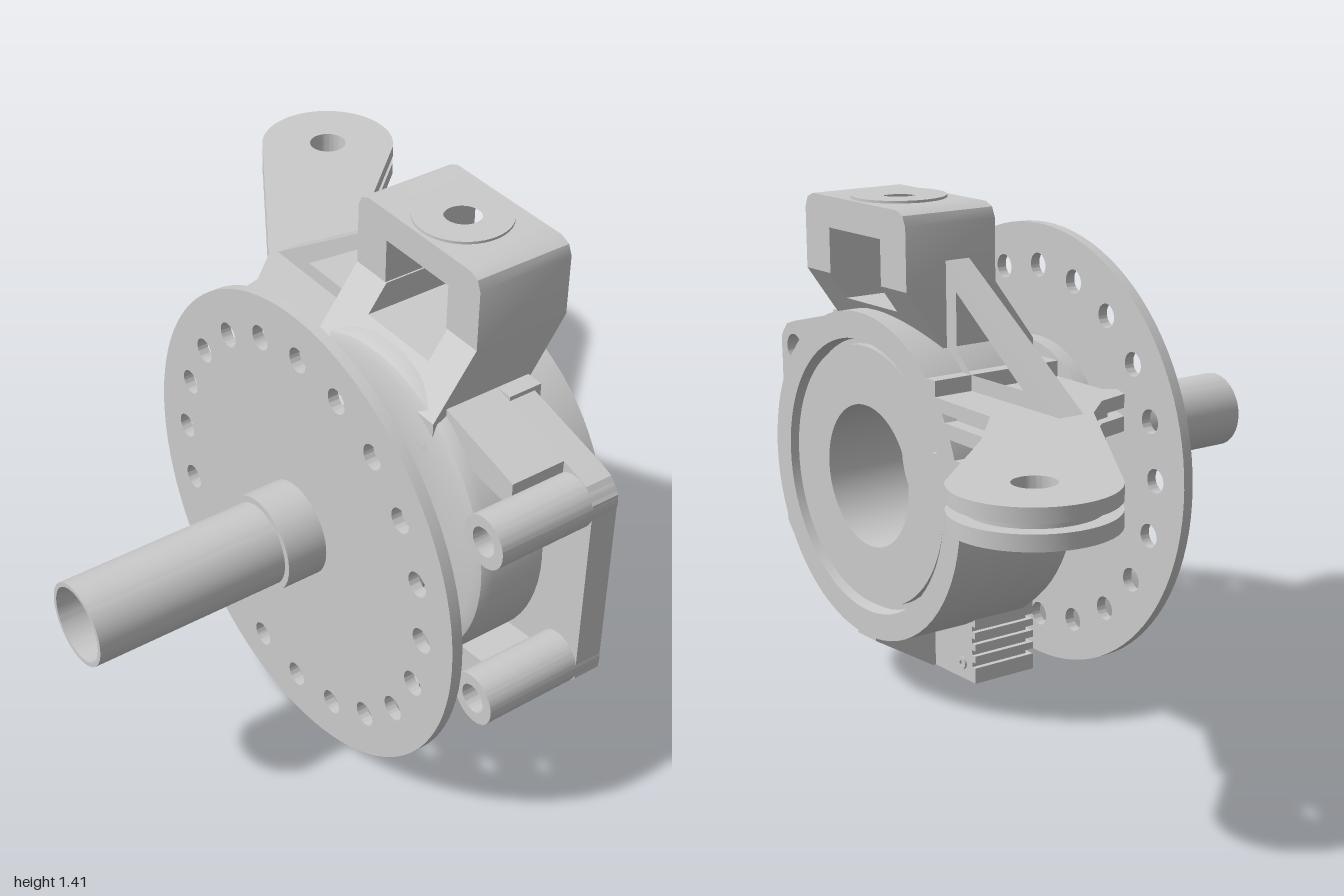
import * as THREE from 'three';
import { toCreasedNormals } from 'three/addons/utils/BufferGeometryUtils.js';
import { ConvexGeometry } from 'three/addons/geometries/ConvexGeometry.js';

const AY = 0.65, AZ = 0.355; // wheel axis runs along x through here
const material = new THREE.MeshStandardMaterial({ color: 0xcccccc });

export function createModel() {
  const root = new THREE.Group();

  function add(name, geometry, crease = 0.5) {
    const mesh = new THREE.Mesh(toCreasedNormals(geometry, crease), material);
    mesh.name = name;
    root.add(mesh);
    return mesh;
  }
  function box(name, x0, x1, y0, y1, z0, z1) {
    const g = new THREE.BoxGeometry(x1 - x0, y1 - y0, z1 - z0);
    add(name, g.translate((x0 + x1) / 2, (y0 + y1) / 2, (z0 + z1) / 2));
  }
  function shapeOf(points, holes) {
    const shape = new THREE.Shape(points.map(([a, b]) => new THREE.Vector2(a, b)));
    for (const [a, b, r] of holes) shape.holes.push(new THREE.Path().absarc(a, b, r, 0, Math.PI * 2, true));
    return shape;
  }
  const extrude = (shape, depth) =>
    new THREE.ExtrudeGeometry(shape, { depth, bevelEnabled: false, curveSegments: 24 });
  // Outline in (z, y), extruded along x
  function alongX(points, x0, x1, holes = [], cut = null) {
    const shape = shapeOf(points.map(([z, y]) => [-z, y]), holes.map(([z, y, r]) => [-z, y, r]));
    if (cut) shape.holes.push(new THREE.Path(cut.map(([z, y]) => new THREE.Vector2(-z, y))));
    return extrude(shape, x1 - x0).rotateY(Math.PI / 2).translate(x0, 0, 0);
  }
  // Outline in (x, z), extruded along y
  function alongY(points, y0, y1, holes = []) {
    const shape = shapeOf(points.map(([x, z]) => [x, -z]), holes.map(([x, z, r]) => [x, -z, r]));
    return extrude(shape, y1 - y0).rotateX(-Math.PI / 2).translate(0, y0, 0);
  }
  // Closed (radius, x) profile turned about an axis parallel to x
  function turned(profile, y = AY, z = AZ) {
    const pts = profile.map(([r, x]) => new THREE.Vector2(r, x));
    return new THREE.LatheGeometry([...pts, pts[0].clone()], 72).rotateZ(-Math.PI / 2).translate(0, y, z);
  }
  const rect = (a0, a1, b0, b1) => [[a0, b0], [a1, b0], [a1, b1], [a0, b1]];

  // Hollow spindle with hub flange
  add('spindle', turned([[0.1, -0.89], [0.112, -0.89], [0.112, -0.35], [0.13, -0.35], [0.13, -0.205],
    [0.32, -0.205], [0.32, -0.16], [0.165, -0.16], [0.125, -0.115], [0.125, 0.07], [0.1, 0.07]]));

  // Brake disc with a ring of holes
  const disc = new THREE.Shape().absarc(0, 0, 0.645, 0, Math.PI * 2);
  disc.holes.push(new THREE.Path().absarc(0, 0, 0.12, 0, Math.PI * 2, true));
  for (let i = 0; i < 20; i++) {
    const a = i * Math.PI / 10;
    disc.holes.push(new THREE.Path().absarc(0.525 * Math.cos(a), 0.525 * Math.sin(a), 0.034, 0, Math.PI * 2, true));
  }
  add('brakeDisc', new THREE.ExtrudeGeometry(disc, { depth: 0.03, bevelEnabled: false, curveSegments: 48 })
    .rotateY(Math.PI / 2).translate(-0.235, AY, AZ));

  // Bearing housing with seal groove and stepped bore
  add('bearingHousing', turned([[0.11, -0.035], [0.27, -0.035], [0.285, -0.02], [0.285, 0], [0.42, 0], [0.448, 0.012],
    [0.46, 0.04], [0.46, 0.4], [0.385, 0.4], [0.38, 0.36], [0.365, 0.36], [0.365, 0.385],
    [0.2, 0.385], [0.2, 0.14], [0.165, 0.14], [0.165, 0.06], [0.11, 0.06]]));

  // Upper mount: sloped base, two legs and a drilled top
  const base = alongX([[0.11, 1.03], [0.6, 1.03], [0.6, 1.2], [0.485, 1.2], [0.485, 1.125],
    [0.235, 1.125], [0.235, 1.2], [0.11, 1.2]], 0, 1);
  const p = base.attributes.position;
  for (let i = 0; i < p.count; i++) {
    const t = 1.2 - p.getY(i);
    p.setX(i, THREE.MathUtils.lerp(0.125 - t * 0.735, 0.41 - t * 0.7, p.getX(i)));
  }
  add('upperMountBase', base);
  box('upperMountFoot', 0, 0.29, 0.93, 1.03, 0.11, 0.6);
  for (const s of [-1, 1]) {
    const leg = [[0.125, 1.2], [0.245, 1.2], [0.245, 1.37], [0.233, 1.398], [0.205, 1.41], [0.125, 1.41]];
    add('upperMountLeg', alongX(leg.map(([d, y]) => [AZ + s * d, y]), 0.125, 0.41));
  }
  add('upperMountTop', alongY(rect(0.125, 0.41, 0.23, 0.48), 1.325, 1.41, [[0.265, AZ, 0.05]]));
  const ring = (r, x, z) => Array.from({ length: 48 }, (_, i) =>
    [x + r * Math.cos(i * Math.PI / 24), z + r * Math.sin(i * Math.PI / 24)]);
  add('upperBoss', alongY(ring(0.13, 0.265, AZ), 1.4, 1.417, [[0.265, AZ, 0.05]]));

  // Lower mount: stacked shims, ball joint boss and sloped rib
  const levels = [0.07, 0.115, 0.13, 0.15, 0.165, 0.185, 0.2, 0.22, 0.235, 0.3];
  for (let i = 0; i < levels.length - 1; i++) {
    const n = i % 2 ? 0.015 : 0;
    add('lowerMountLayer', alongY(rect(n, 0.2, 0.115 + n, 0.595 - n), levels[i], levels[i + 1],
      i < 5 ? [[0.1, AZ, 0.05]] : []));
  }
  add('lowerBoss', alongY(ring(0.085, 0.1, AZ), 0.062, 0.08, [[0.1, AZ, 0.05]]));
  for (const z of [0.175, 0.535]) add('lowerBolt', turned([[0.008, 0.19], [0.018, 0.19], [0.018, 0.206], [0.008, 0.206]], 0.115, z));
  const rib = new THREE.Shape([[0.19, 0.07], [0.21, 0.07], [0.4, 0.185], [0.4, 0.22], [0.19, 0.22]]
    .map(([x, y]) => new THREE.Vector2(x, y)));
  add('lowerRib', extrude(rib, 0.09).translate(0, 0, 0.31));

  // Caliper bracket: plate, edge flanges and two bolt tubes
  add('caliperPlate', alongX([[0.58, 1.065], [0.9, 0.985], [0.945, 0.97], [0.975, 0.93], [0.975, 0.36],
    [0.945, 0.325], [0.9, 0.31], [0.58, 0.24]], 0.2, 0.28, [[0.905, 0.905, 0.04], [0.905, 0.39, 0.04]]));
  add('caliperTopFlange', alongX([[0.58, 1.065], [0.86, 0.995], [0.86, 0.92], [0.58, 0.96]], 0.04, 0.28));
  add('caliperBottomFlange', alongX([[0.58, 0.24], [0.86, 0.301], [0.86, 0.375], [0.58, 0.34]], 0.04, 0.28));
  box('caliperShoulder', 0.2, 0.3, 0.265, 1.06, 0.58, 0.65);
  for (const y of [0.905, 0.39]) {
    add('caliperTube', turned([[0.04, -0.08], [0.072, -0.08], [0.072, 0.28], [0.04, 0.28]], y, 0.905));
  }

  // Steering arm: two plates around an inset web
  function armLayer(name, inset, y0, y1) {
    const s = new THREE.Shape();
    s.moveTo(inset, 0);
    for (const [x, y] of [[0.4, 0], [0.41, 0.255], [0.565, 0.43]]) s.lineTo(x - inset, y);
    s.absarc(0.685, 0.8, 0.2 - inset, -0.7, 2.65);
    for (const [x, y] of [[0.18, 0.38], [0.085, 0.295], [-0.01, 0.27], [-0.03, 0.215], [0, 0.19]]) {
      s.lineTo(x + inset, y - inset * 0.5);
    }
    s.holes.push(new THREE.Path().absarc(0.685, 0.8, 0.054, 0, Math.PI * 2, true));
    add(name, extrude(s, y1 - y0).rotateX(-Math.PI / 2).translate(0, y0, 0));
  }
  armLayer('steeringArmTop', 0, 0.905, 0.942);
  armLayer('steeringArmWeb', 0.04, 0.88, 0.907);
  armLayer('steeringArmBottom', 0, 0.842, 0.882);
  box('armRoot', 0, 0.4, 0.8, 0.985, 0, 0.13);

  // Lower brace that bends up to the arm
  const e1 = [0.56, -0.5], e2 = [0.4, -0.62];
  add('armBrace', alongY([[0.05, 0.02], [0.4, 0.02], [0.4, -0.27], e1, e2, [0.2, -0.37], [0.05, -0.24]], 0.725, 0.79));
  const bend = [];
  for (const [x, z] of [e1, e2]) {
    for (const [t, y] of [[-0.1, 0.725], [0, 0.725], [0.1, 0.845], [-0.02, 0.845], [-0.1, 0.79]]) {
      bend.push(new THREE.Vector3(x + t * 0.63, y, z - t * 0.777));
    }
  }
  add('braceBend', new ConvexGeometry(bend));
  box('braceSpacer', 0.1, 0.3, 0.78, 0.85, -0.15, 0);

  // Triangular gusset from the upper mount to the arm
  add('gusset', alongX([[0.13, 1.285], [-0.38, 0.94], [0.13, 0.94]], 0.21, 0.285, [],
    [[0.065, 1.195], [-0.225, 0.985], [0, 0.985], [0.065, 1.04]]));

  return root;
}
